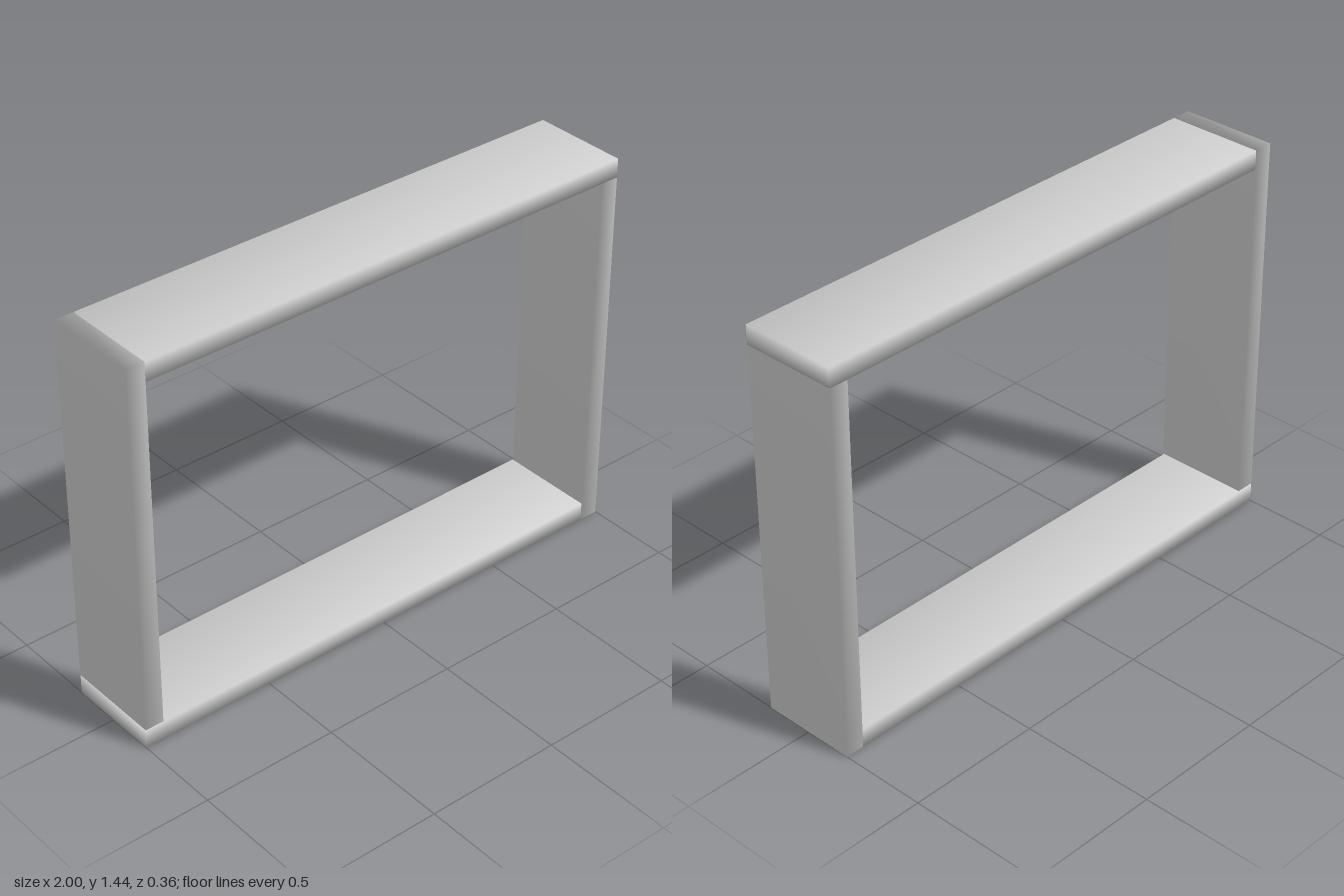
import * as THREE from 'three';
import { mergeVertices } from 'three/addons/utils/BufferGeometryUtils.js';

const HEIGHT = 1.436, DEPTH = 0.36, THICK = 0.07, GAP = 0.004;

// Plank with corner normals shared between its faces for soft shading
function plankGeometry(width, height) {
  const box = new THREE.BoxGeometry(width, height, DEPTH);
  box.deleteAttribute('normal');
  box.deleteAttribute('uv');
  const geometry = mergeVertices(box);
  geometry.computeVertexNormals();
  return geometry;
}

export function createModel() {
  const group = new THREE.Group();
  group.name = 'openFrame';
  const material = new THREE.MeshStandardMaterial({ color: 0xcccccc });

  const rail = plankGeometry(2 - THICK - GAP, THICK);
  const post = plankGeometry(THICK, HEIGHT - THICK - GAP);
  const shift = (THICK + GAP) / 2;

  const add = (name, geometry, x, y) => {
    const mesh = new THREE.Mesh(geometry, material);
    mesh.name = name;
    mesh.position.set(x, y, 0);
    group.add(mesh);
  };

  // Four planks butted in a pinwheel, each covering the end of the next
  add('topPlank', rail, shift, HEIGHT - THICK / 2);
  add('bottomPlank', rail, -shift, THICK / 2);
  add('leftPost', post, 1 - THICK / 2, HEIGHT / 2 - shift);
  add('rightPost', post, -1 + THICK / 2, HEIGHT / 2 + shift);

  return group;
}
